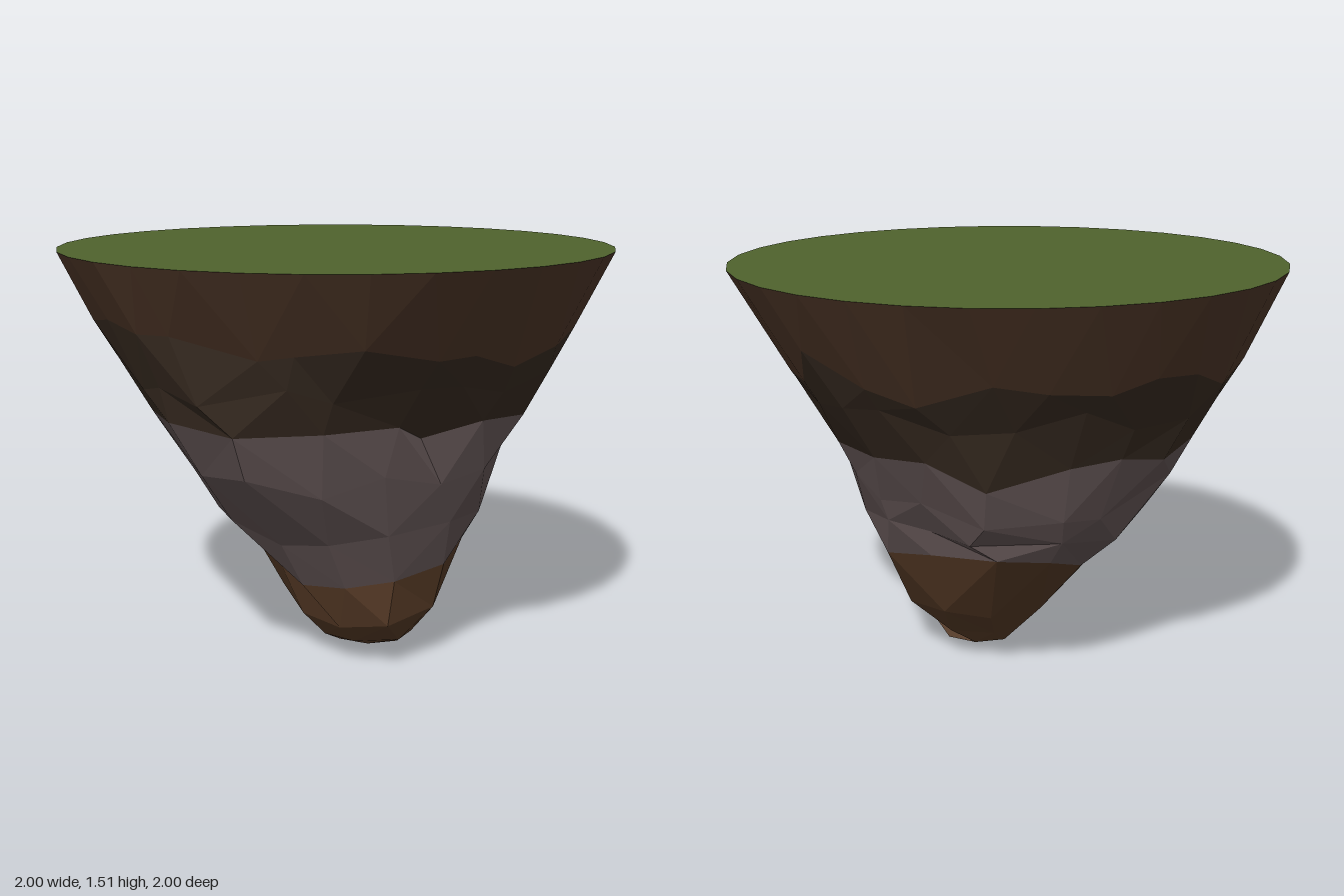
import * as THREE from 'three';

// Outline by height: [y, xMin, xMax, zMin, zMax]
const OUTLINE = [
  [1.51, -1, 1, -1, 1],
  [1.26, -0.88, 0.87, -0.85, 0.85],
  [1.02, -0.74, 0.75, -0.68, 0.74],
  [0.76, -0.59, 0.62, -0.61, 0.66],
  [0.54, -0.48, 0.54, -0.5, 0.5],
  [0.38, -0.3, 0.47, -0.4, 0.41],
  [0.19, -0.17, 0.39, -0.24, 0.36],
  [0.06, -0.05, 0.3, -0.06, 0.22],
  [0, 0.02, 0.24, 0, 0.08],
];

// Rings of vertices: [y, sides, height jitter, tilt towards the front]
const RINGS = [
  [1.51, 32, 0, 0],
  [1.22, 26, 0.085, 0],
  [1.08, 22, 0.05, 0],
  [0.91, 18, 0.06, 0.05],
  [0.74, 16, 0.05, 0.02],
  [0.57, 14, 0.04, -0.04],
  [0.42, 12, 0.04, -0.08],
  [0.2, 9, 0.03, -0.02],
  [0.06, 7, 0.02, 0],
  [0, 4, 0, 0],
  [0, 1, 0, 0],
];

// Layers of ground: name, colour, first ring, last ring
const LAYERS = [
  ['topSoil', 0x4f3728, 0, 1],
  ['darkSoil', 0x392c22, 1, 3],
  ['rockBand', 0x635555, 3, 6],
  ['earthTip', 0x573b26, 6, 10],
];

// Hollows (negative) and bulges (positive): [angle, width, height, spread, size]
const FEATURES = [
  [0.95, 0.42, 0.9, 0.25, -0.2],
  [1.1, 0.5, 0.2, 0.1, 0.12],
  [2.05, 0.3, 0.92, 0.22, 0.11],
  [2.7, 0.3, 0.42, 0.16, -0.2],
  [2.75, 0.2, 0.68, 0.2, -0.06],
  [3.6, 0.3, 0.8, 0.25, 0.07],
  [-1.1, 0.35, 0.62, 0.22, -0.14],
  [-0.45, 0.35, 0.74, 0.25, -0.06],
];

function seeded(seed) {
  return () => {
    seed = (seed * 16807) % 2147483647;
    return seed / 2147483647;
  };
}

// Point on the side of the island at an angle and height
function sidePoint(a, y) {
  let k = 0;
  while (k < OUTLINE.length - 2 && y < OUTLINE[k + 1][0]) k++;
  const p = OUTLINE[k], q = OUTLINE[k + 1];
  const t = THREE.MathUtils.clamp((p[0] - y) / (p[0] - q[0]), 0, 1);
  const [x0, x1, z0, z1] = [1, 2, 3, 4].map(i => THREE.MathUtils.lerp(p[i], q[i], t));
  let s = 1;
  if (y < 1.5) {
    for (const [fa, width, fy, spread, size] of FEATURES) {
      const da = Math.atan2(Math.sin(a - fa), Math.cos(a - fa));
      s += size * Math.exp(-((da / width) ** 2) - ((y - fy) / spread) ** 2);
    }
  }
  return new THREE.Vector3(
    (x0 + x1) / 2 + (x1 - x0) / 2 * s * Math.cos(a), y,
    (z0 + z1) / 2 + (z1 - z0) / 2 * s * Math.sin(a));
}

function makeRings() {
  const rand = seeded(4711);
  return RINGS.map(([y, n, jitter, tilt], r) => {
    if (n === 1) return [{ a: 0, p: new THREE.Vector3(0.13, 0.01, 0.04) }];
    const ring = [];
    for (let i = 0; i < n; i++) {
      const wobble = jitter ? (rand() - 0.5) * 0.5 : 0;
      const a = (i + wobble + (jitter && r % 2 ? 0.5 : 0)) / n * Math.PI * 2;
      const h = y + tilt * Math.sin(a) + (rand() * 2 - 1) * jitter;
      const p = sidePoint(a, h);
      if (jitter) {
        const bump = 1 + (rand() - 0.35) * 0.03;
        p.x *= bump;
        p.z *= bump;
      }
      ring.push({ a, p });
    }
    return ring;
  });
}

// Joins two rings of different side counts, taking the nearer next corner
function stitch(top, low, out) {
  const at = (ring, i) => ring[i % ring.length].p;
  const angle = (ring, i) => ring[i % ring.length].a + Math.floor(i / ring.length) * Math.PI * 2;
  const lowEnd = low.length === 1 ? 0 : low.length;
  let i = 0, j = 0;
  while (i < top.length || j < lowEnd) {
    const stepTop = j >= lowEnd || (i < top.length && angle(top, i + 1) <= angle(low, j + 1));
    if (stepTop) {
      out.push(at(top, i), at(top, i + 1), at(low, j));
      i++;
    } else {
      out.push(at(top, i), at(low, j + 1), at(low, j));
      j++;
    }
  }
}

export function createModel() {
  const island = new THREE.Group();
  island.name = 'floatingIsland';

  // Flat grass disc
  const grass = new THREE.Mesh(
    new THREE.CircleGeometry(1, 32).rotateX(-Math.PI / 2),
    new THREE.MeshStandardMaterial({ color: 0x4f632d }));
  grass.position.y = 1.51;
  grass.name = 'grassTop';
  island.add(grass);

  // Faceted layers of earth and rock
  const rings = makeRings();
  for (const [name, color, first, last] of LAYERS) {
    const points = [];
    for (let r = first; r < last; r++) stitch(rings[r], rings[r + 1], points);
    const geometry = new THREE.BufferGeometry().setFromPoints(points);
    geometry.computeVertexNormals();
    const layer = new THREE.Mesh(geometry,
      new THREE.MeshStandardMaterial({ color, flatShading: true }));
    layer.name = name;
    island.add(layer);
  }
  return island;
}
